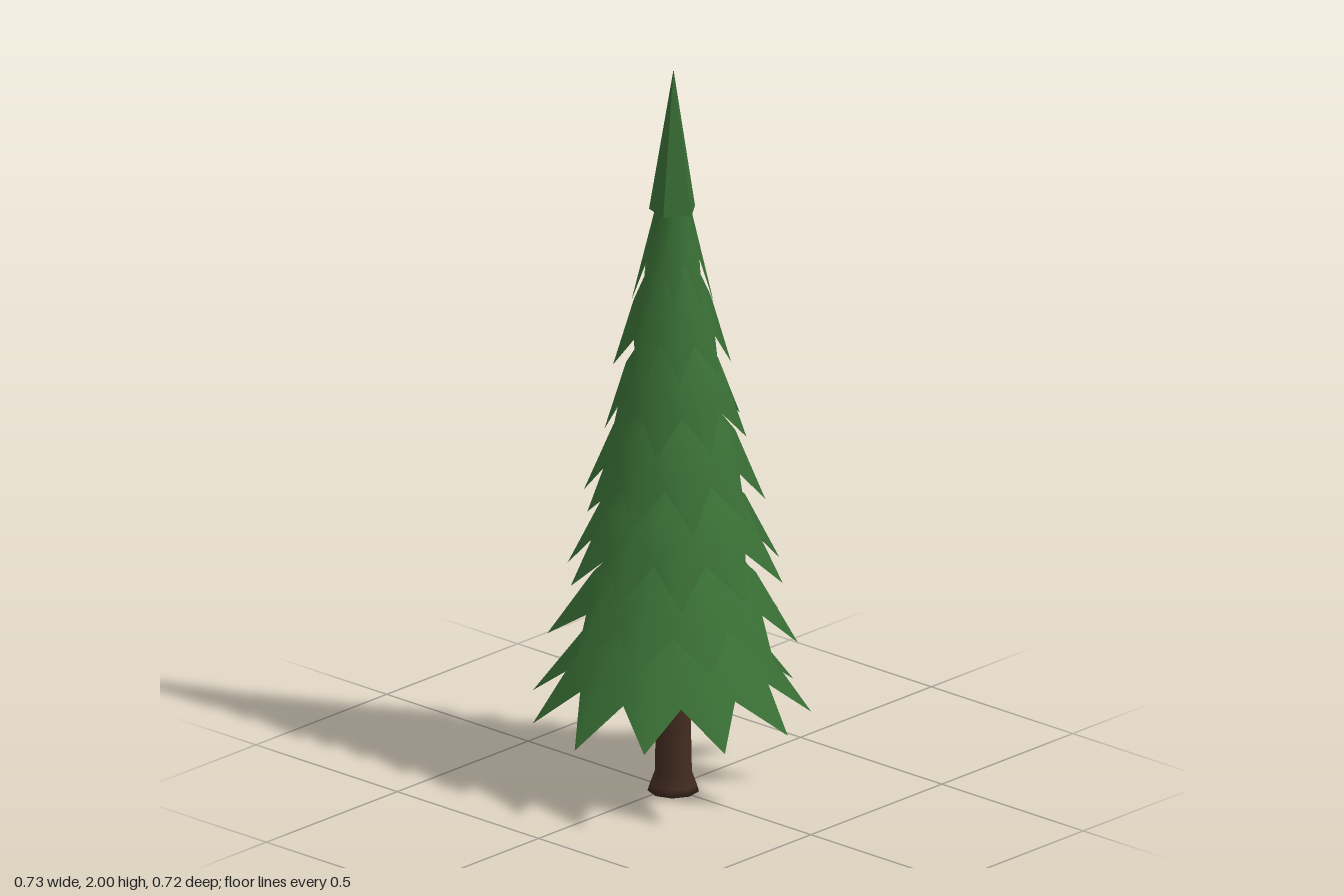
import * as THREE from 'three';

const CENTRE_X = 0.014;

// repeatable variation between -1 and 1
let seed = 7;
function vary() {
  seed = (seed * 16807) % 2147483647;
  return (seed / 2147483647) * 2 - 1;
}

const needles = new THREE.MeshStandardMaterial({ color: 0x386d34, side: THREE.DoubleSide });
const crownNeedles = new THREE.MeshStandardMaterial({ color: 0x386d34, flatShading: true });
const bark = new THREE.MeshStandardMaterial({ color: 0x422b20 });

// Open skirt of folded boughs: rings from the top down, ending in a zigzag hem
function tierGeometry({ points, radius, tipY, nextY, waist, valley, phase }) {
  const n = points * 2;
  const hem = [], shoulder = [], collar = [];
  for (let i = 0; i < n; i++) {
    const isTip = i % 2 === 0;
    const a = phase + (i / n) * Math.PI * 2;
    const at = (r, y) => [Math.cos(a) * r, y, Math.sin(a) * r];
    const scatter = vary();
    hem.push(isTip
      ? at(radius * (1 + scatter * 0.02), tipY + scatter * 0.015)
      : at(radius * valley, tipY + (nextY - tipY) * 0.5));
    shoulder.push(at(radius * (isTip ? waist : waist - 0.07), nextY));
    collar.push(at(radius * 0.25 + 0.01, nextY + 0.12));
  }
  const index = [];
  for (let ring = 0; ring < 2; ring++) {
    for (let i = 0; i < n; i++) {
      const j = (i + 1) % n;
      const a = ring * n + i, b = ring * n + j;
      const c = a + n, d = b + n;
      // mirror the split of each panel about the bough ridge
      if (i % 2 === 0) index.push(a, b, d, a, d, c);
      else index.push(a, b, c, b, d, c);
    }
  }
  const geometry = new THREE.BufferGeometry();
  geometry.setAttribute('position', new THREE.Float32BufferAttribute([...collar, ...shoulder, ...hem].flat(), 3));
  geometry.setIndex(index);
  geometry.computeVertexNormals();
  return geometry;
}

export function createModel() {
  seed = 7;
  const tree = new THREE.Group();
  tree.name = 'pineTree';

  // trunk with a flared foot
  const profile = [[0, 0], [0.068, 0], [0.062, 0.02], [0.049, 0.055], [0.046, 0.2], [0.042, 0.45], [0, 0.5]];
  const trunk = new THREE.Mesh(
    new THREE.LatheGeometry(profile.map(([r, y]) => new THREE.Vector2(r, y)), 9), bark);
  trunk.name = 'trunk';
  trunk.position.x = CENTRE_X;
  tree.add(trunk);

  // bough tiers: points, tip radius, tip height, first tip angle in degrees,
  // waist ratio, valley ratio, sideways shift
  const tiers = [
    [11, 0.37, 0.22, 90, 0.62, 0.73, 0],
    [10, 0.325, 0.42, 102, 0.65, 0.74, 0.018],
    [10, 0.29, 0.605, 80, 0.67, 0.75, 0.02],
    [9, 0.238, 0.795, 74, 0.68, 0.76, 0.012],
    [8, 0.192, 0.995, 107, 0.68, 0.76, 0.018],
    [8, 0.153, 1.175, 85, 0.66, 0.75, 0.01],
    [8, 0.108, 1.365, 90, 0.46, 0.68, 0.012],
  ];
  tiers.forEach(([points, radius, tipY, degrees, waist, valley, shift], i) => {
    const nextY = i + 1 < tiers.length ? tiers[i + 1][2] : 1.6;
    const tier = new THREE.Mesh(tierGeometry({
      points, radius, tipY, nextY, waist, valley,
      phase: THREE.MathUtils.degToRad(degrees),
    }), needles);
    tier.name = `boughTier${i + 1}`;
    tier.position.x = shift;
    tree.add(tier);
  });

  // pointed crown
  const crown = new THREE.Mesh(new THREE.ConeGeometry(0.064, 0.39, 5, 1), crownNeedles);
  crown.name = 'crown';
  crown.position.set(CENTRE_X, 1.805, 0);
  crown.rotation.y = Math.PI / 2;
  tree.add(crown);

  return tree;
}
